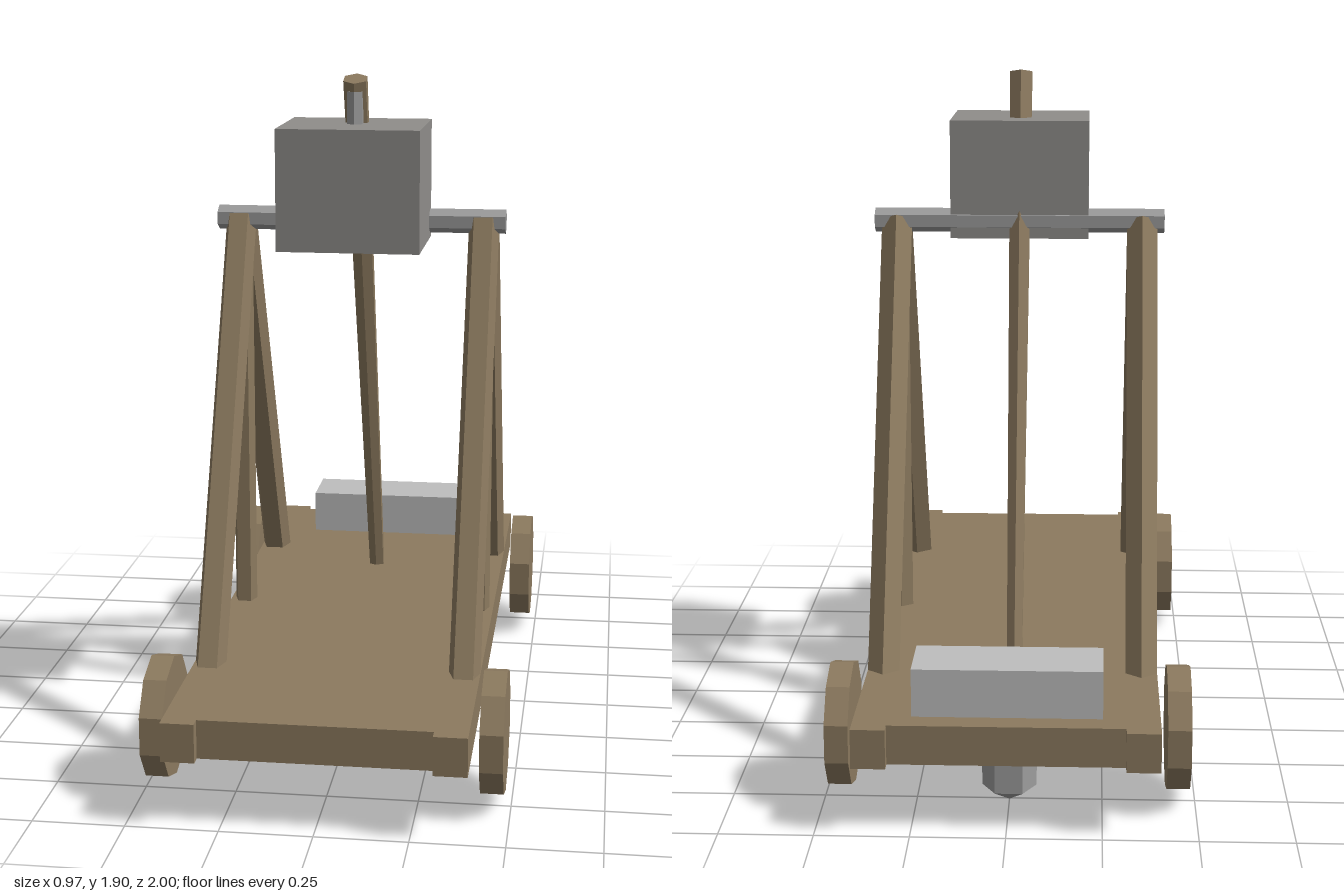
import * as THREE from 'three';

export function createModel() {
  const model = new THREE.Group();
  const mat = (name, color) => {
    const m = new THREE.MeshStandardMaterial({ color, flatShading: true });
    m.name = name;
    return m;
  };
  const wood = mat('wood', 0x8c7a5f);
  const stone = mat('weightGrey', 0x8f8d8a);
  const metal = mat('metalGrey', 0x9c9c9c);
  const pale = mat('paleGrey', 0xbebebe);

  const add = (name, geometry, material) => {
    const mesh = new THREE.Mesh(geometry, material);
    mesh.name = name;
    model.add(mesh);
    return mesh;
  };
  const box = (name, material, x0, x1, y0, y1, z0, z1) =>
    add(name, new THREE.BoxGeometry(x1 - x0, y1 - y0, z1 - z0), material)
      .position.set((x0 + x1) / 2, (y0 + y1) / 2, (z0 + z1) / 2);

  // Pole lying in a plane of constant x, from bottom [y, z] to top [y, z]
  const pole = (name, material, x, [y0, z0], [y1, z1], rBottom, rTop, sides, turn = 0) => {
    const length = Math.hypot(y1 - y0, z1 - z0);
    const mesh = add(name, new THREE.CylinderGeometry(rTop, rBottom, length, sides, 1, false, turn), material);
    mesh.position.set(x, (y0 + y1) / 2, (z0 + z1) / 2);
    mesh.rotation.x = Math.atan2(z1 - z0, y1 - y0);
    return mesh;
  };
  // Cylinder lying along x with a corner pointing up
  const crossBar = (name, material, x, y, z, r, length, sides) => {
    const g = new THREE.CylinderGeometry(r, r, length, sides, 1, false, Math.PI / 2);
    g.rotateZ(Math.PI / 2);
    add(name, g, material).position.set(x, y, z);
  };

  // Platform with side rails that overhang both ends, as one outline
  const outline = new THREE.Shape([
    [-0.4, -1], [-0.31, -1], [-0.31, -0.968], [0.31, -0.968], [0.31, -1], [0.4, -1],
    [0.4, 1], [0.31, 1], [0.31, 0.968], [-0.31, 0.968], [-0.31, 1], [-0.4, 1],
  ].map(([x, z]) => new THREE.Vector2(x, z)));
  const deck = new THREE.ExtrudeGeometry(outline, { depth: 0.107, bevelEnabled: false });
  deck.rotateX(-Math.PI / 2);
  add('platform', deck, wood).position.y = 0.188;

  for (const side of [-1, 1]) {
    const label = side > 0 ? 'left' : 'right';
    // A-frame legs and upright post, five-sided with the flat side forward
    const x = side * 0.356;
    pole(label + 'FrontLeg', wood, x, [0.25, 0.577], [1.47, 0], 0.046, 0.046, 5, Math.PI);
    pole(label + 'BackLeg', wood, x, [0.25, -0.577], [1.47, 0], 0.046, 0.046, 5, Math.PI);
    pole(label + 'Post', wood, x, [0.25, 0], [1.47, 0], 0.034, 0.034, 5, Math.PI);
    // Wheels
    crossBar(label + 'FrontWheel', wood, side * 0.452, 0.203, 0.72, 0.17, 0.063, 10);
    crossBar(label + 'BackWheel', wood, side * 0.452, 0.203, -0.72, 0.17, 0.063, 10);
  }

  // Pivot, throwing arm and counterweight
  crossBar('pivotAxle', metal, 0, 1.47, 0, 0.035, 0.84, 6);
  pole('throwingArm', wood, 0, [0.177, -0.437], [1.885, 0.137], 0.024, 0.037, 6);
  box('counterweight', stone, -0.2, 0.2, 1.42, 1.76, -0.028, 0.315);
  pole('counterweightHanger', metal, 0, [1.6, 0.142], [1.85, 0.142], 0.025, 0.025, 6);

  // Block on the back of the platform
  box('rearBlock', pale, -0.25, 0.25, 0.29, 0.425, -0.905, -0.725);

  // Sling rope and projectile below the platform
  pole('slingRope', metal, 0, [0.1, -0.755], [0.175, -0.43], 0.009, 0.009, 6);
  add('projectile', new THREE.SphereGeometry(0.085, 6, 3), metal).position.set(0, 0.086, -0.755);

  return model;
}
